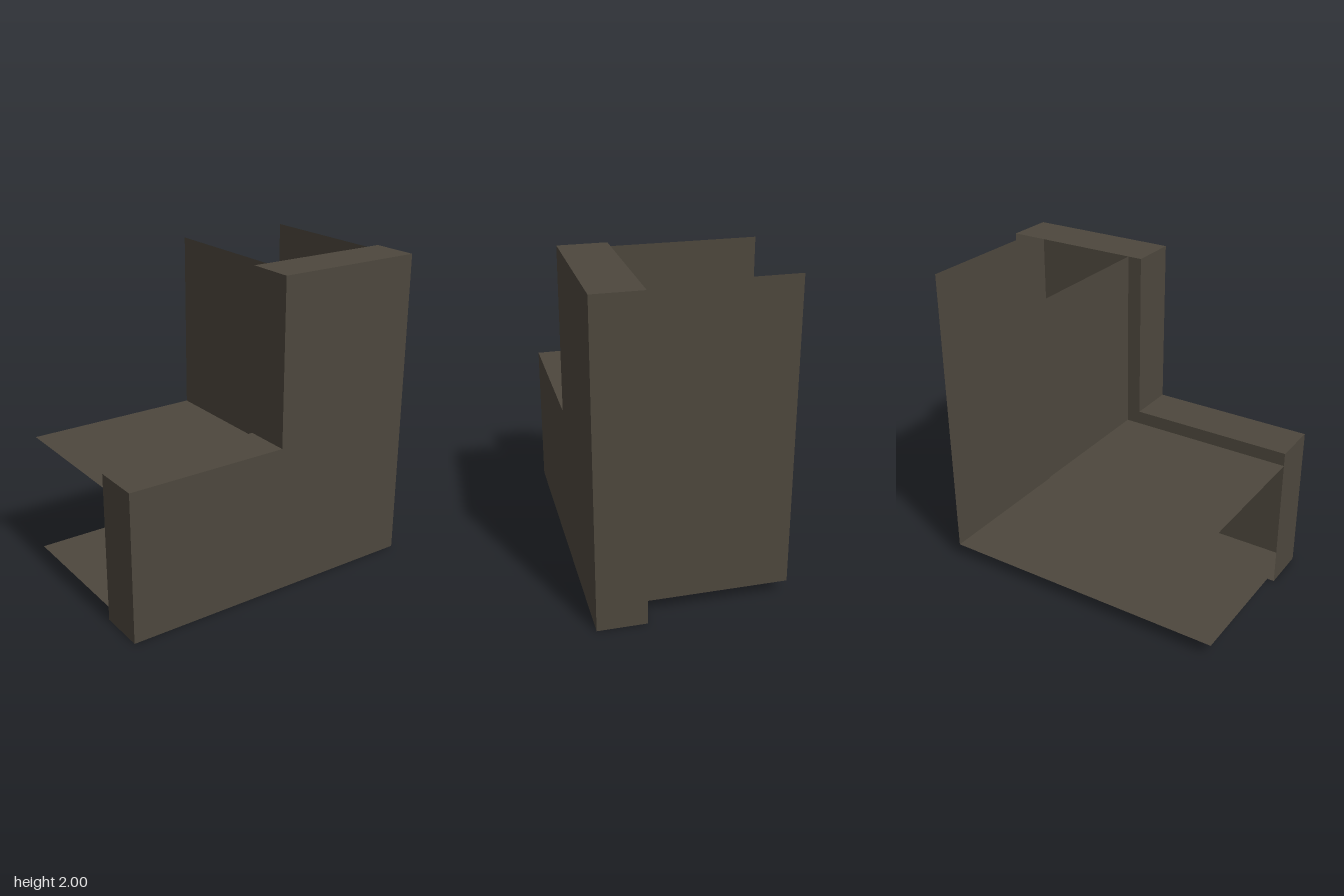
import * as THREE from 'three';

// Thin wall that follows an x/y path and runs from z0 to z1
function wall(path, z0, z1) {
  const pos = [];
  for (let i = 0; i < path.length - 1; i++) {
    const [ax, ay] = path[i], [bx, by] = path[i + 1];
    pos.push(ax, ay, z0, bx, by, z0, bx, by, z1);
    pos.push(ax, ay, z0, bx, by, z1, ax, ay, z1);
  }
  const g = new THREE.BufferGeometry();
  g.setAttribute('position', new THREE.Float32BufferAttribute(pos, 3));
  g.computeVertexNormals();
  return g;
}

export function createModel() {
  const group = new THREE.Group();
  const material = new THREE.MeshStandardMaterial({ color: 0x4d473d, side: THREE.DoubleSide });
  material.name = 'dark taupe';

  const add = (name, geometry) => {
    const mesh = new THREE.Mesh(geometry, material);
    mesh.name = name;
    group.add(mesh);
    return mesh;
  };

  const front = 0.59, middle = 0.29, back = -0.59;

  // Hollow L-shaped front cover, open at the back
  const outline = [[-1, 0], [1, 0], [1, 2], [0.04, 2], [0.04, 0.955], [-1, 0.955]];
  const shape = new THREE.Shape(outline.map(([x, y]) => new THREE.Vector2(x, y)));
  add('frontPanel', new THREE.ShapeGeometry(shape)).position.z = front;
  add('coverRim', wall([...outline, outline[0]], middle, front));

  // Two bent sheets running back from the cover, open at both ends
  add('outerSheet', wall([[-1, 0.09], [0.91, 0.09], [0.91, 2]], back, middle));
  add('innerSheet', wall([[-1, 0.87], [0.13, 0.87], [0.13, 2]], back, middle));

  return group;
}
